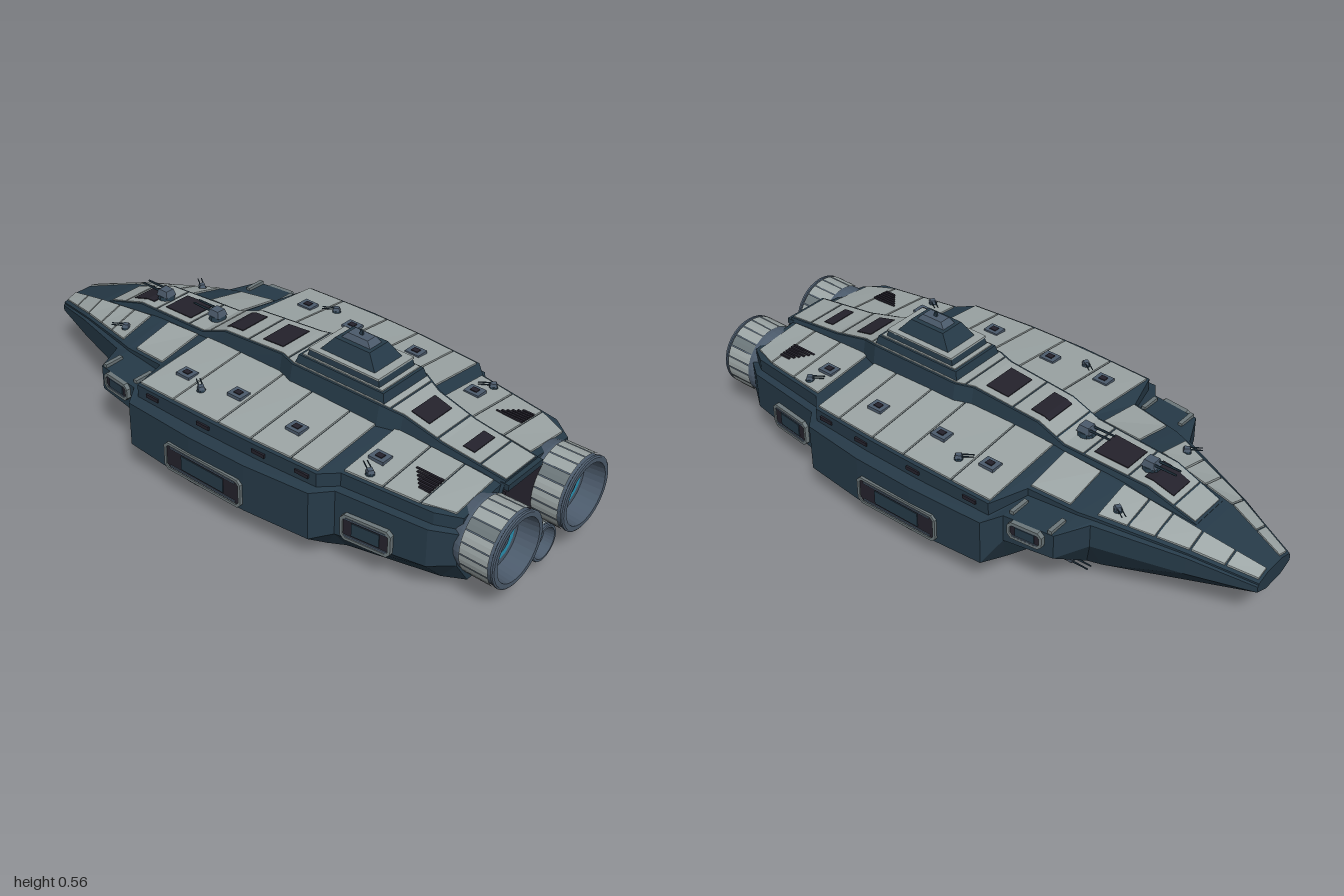
import * as THREE from 'three';

const mat = (name, color, side = THREE.FrontSide) => {
  const m = new THREE.MeshStandardMaterial({ color, side, flatShading: true });
  m.name = name;
  return m;
};

// Hull stations: x, keel z/y, side z, side low y, side high y, deck edge z/y, deck inner z/y
const HULL = [
  [-1, .04, .15, .09, .17, .19, .085, .2, .035, .215],
  [-.8, .1, .105, .165, .18, .24, .155, .25, .08, .28],
  [-.53, .19, .08, .26, .2, .28, .24, .295, .1, .33],
  [-.48, .2, .075, .37, .2, .285, .255, .3, .1, .335],
  [-.31, .25, .068, .39, .19, .285, .275, .315, .1, .345],
  [-.27, .33, .065, .45, .12, .275, .41, .322, .1, .35],
  [0, .36, .055, .46, .11, .275, .415, .328, .1, .36],
  [.22, .36, .048, .455, .11, .275, .41, .328, .11, .36],
  [.45, .34, .042, .43, .11, .275, .395, .325, .1, .355],
  [.5, .31, .042, .37, .12, .275, .345, .325, .1, .35],
  [.8, .25, .055, .33, .14, .27, .305, .315, .095, .335],
  [.87, .22, .062, .28, .15, .26, .26, .305, .09, .325],
];
// Spine stations: x, top half width, top y
const SPINE = [
  [-.77, .07, .287], [-.6, .08, .345], [-.3, .09, .36], [-.2, .09, .4], [.05, .095, .42],
  [.11, .115, .42], [.45, .115, .42], [.52, .09, .4], [.66, .085, .365], [.88, .08, .338],
];

function sample(table, x) {
  let i = 0;
  while (i < table.length - 2 && x > table[i + 1][0]) i++;
  const a = table[i], b = table[i + 1];
  const t = Math.min(1, Math.max(0, (x - a[0]) / (b[0] - a[0])));
  return a.map((v, k) => v + (b[k] - v) * t);
}

// Skin a row of closed rings ([x, y, z] points running keel, +z, top, -z) and cap both ends
function loft(rings) {
  const p = [], n = rings[0].length, last = rings[rings.length - 1];
  for (let r = 0; r < rings.length - 1; r++) {
    const a = rings[r], b = rings[r + 1];
    for (let i = 0; i < n; i++) {
      const j = (i + 1) % n;
      p.push(...a[i], ...b[i], ...b[j], ...a[i], ...b[j], ...a[j]);
    }
  }
  for (let i = 1; i < n - 1; i++) {
    p.push(...rings[0][0], ...rings[0][i], ...rings[0][i + 1]);
    p.push(...last[0], ...last[i + 1], ...last[i]);
  }
  const g = new THREE.BufferGeometry();
  g.setAttribute('position', new THREE.Float32BufferAttribute(p, 3));
  g.computeVertexNormals();
  return g;
}

// Box whose top face is scaled inward
function frustum(w, h, d, sx, sz) {
  const g = new THREE.BoxGeometry(w, h, d).toNonIndexed(), p = g.attributes.position;
  for (let i = 0; i < p.count; i++)
    if (p.getY(i) > 0) p.setXYZ(i, p.getX(i) * sx, p.getY(i), p.getZ(i) * sz);
  g.computeVertexNormals();
  return g;
}

export function createModel() {
  const root = new THREE.Group();
  const dark = mat('navy hull', 0x263a48), light = mat('pale plating', 0x9ca5a5);
  const slate = mat('slate metal', 0x4c5b6c), black = mat('dark recess', 0x24222c);
  const blue = mat('engine glow', 0x2b93b3), grey = mat('trim grey', 0x6c777a);
  const add = (name, geo, m, x = 0, y = 0, z = 0, parent = root) => {
    const o = new THREE.Mesh(geo, m);
    o.name = name;
    o.position.set(x, y, z);
    parent.add(o);
    return o;
  };
  const box = (name, w, h, d, m, x, y, z, parent) =>
    add(name, new THREE.BoxGeometry(w, h, d), m, x, y, z, parent);
  const deckY = (x, z) => {
    const s = sample(HULL, x), t = (s[6] - Math.abs(z)) / (s[6] - s[8]);
    return s[7] + (s[9] - s[7]) * t + .006;
  };

  // Main hull
  add('hull', loft(HULL.map(([x, kz, ky, sz, lo, hi, ez, ey, iz, iy]) => {
    const half = [[kz, ky], [sz, lo], [sz, hi], [ez, hi + .004], [ez, ey], [iz, iy]];
    return [[x, ky, 0], ...half.map(([z, y]) => [x, y, z]),
      ...half.slice().reverse().map(([z, y]) => [x, y, -z])];
  })), dark);

  // Pale deck plates with dark seams, mirrored
  const plates = [[-.995, -.9], [-.9, -.8], [-.8, -.7], [-.7, -.62], [-.62, -.53], [-.45, -.31], [-.27, -.12],
    [-.12, .07], [.07, .2], [.2, .35], [.35, .45], [.5, .63], [.63, .75], [.75, .85]];
  for (const [x0, x1] of plates) for (const s of [1, -1]) {
    const rings = [x0 + .003, x1 - .003].map(x => {
      const h = sample(HULL, x), o = h[6] - .012, n = h[8];
      const yo = deckY(x, o), yn = deckY(x, n);
      const ring = [[x, yn - .02, s * n], [x, yo - .02, s * o], [x, yo, s * o], [x, yn, s * n]];
      return s > 0 ? ring : ring.reverse();
    });
    add('deckPlate', loft(rings), light);
  }

  // Raised spine, its pale top plates and dark hatches
  add('spine', loft(SPINE.map(([x, w, y]) => {
    const base = sample(HULL, x)[9] - .03;
    return [[x, base, w + .018], [x, y, w], [x, y, -w], [x, base, -w - .018]];
  })), dark);
  const strip = (name, x0, x1, m, inset, lift) => {
    const xs = [x0, ...SPINE.map(s => s[0]).filter(x => x > x0 && x < x1), x1];
    add(name, loft(xs.map(x => {
      const [, w, y] = sample(SPINE, x), z = w - inset;
      return [[x, y - .004, z], [x, y + lift, z], [x, y + lift, -z], [x, y - .004, -z]];
    })), m);
  };
  const seams = [-.765, -.69, -.53, -.37, -.27, -.1, .08, .48, .64, .79, .88];
  for (let i = 0; i < seams.length - 1; i++)
    strip('spinePlate', seams[i] + .003, seams[i + 1] - .003, light, .007, .003);
  for (const [a, b] of [[-.67, -.57], [-.51, -.39], [-.22, -.15], [-.06, .025], [.525, .59], [.71, .75]])
    strip('spineHatch', a, b, black, .033, .006);

  // Stepped command tower
  const tower = new THREE.Group();
  tower.name = 'commandTower';
  tower.position.x = .285;
  root.add(tower);
  for (const [y, h, w, d, sx, sz, m] of [
    [.415, .035, .35, .21, .94, .92, dark], [.45, .004, .31, .18, 1, 1, light],
    [.45, .024, .28, .17, .96, .96, dark], [.474, .007, .27, .17, 1, 1, light],
    [.481, .045, .21, .13, .64, .68, dark], [.526, .018, .11, .055, .7, .7, slate],
    [.544, .016, .012, .008, .6, .6, dark]])
    add('towerTier', frustum(w, h, d, sx, sz), m, 0, y + h / 2, 0, tower);

  // Side hangars: chamfered frame around a dark bay with a lintel and sill
  const chamfered = (C, w, h, c) => {
    const s = new C(), a = w / 2, b = h / 2;
    [[-a, -b + c], [-a + c, -b], [a - c, -b], [a, -b + c], [a, b - c], [a - c, b], [-a + c, b], [-a, b - c]]
      .forEach(([x, y], i) => (i ? s.lineTo(x, y) : s.moveTo(x, y)));
    s.closePath();
    return s;
  };
  for (const s of [1, -1]) for (const [x, y, z, w, h, turn] of [
    [-.39, .255, .378, .12, .06, -.1], [.055, .167, .447, .32, .1, 0], [.61, .172, .352, .17, .09, .12]]) {
    const bay = new THREE.Group();
    bay.name = 'sideHangar';
    bay.position.set(x, y, s * z);
    bay.rotation.y = s > 0 ? turn : Math.PI - turn;
    root.add(bay);
    const ring = chamfered(THREE.Shape, w, h, .014);
    ring.holes.push(chamfered(THREE.Path, w - .018, h - .018, .01));
    add('hangarFrame', new THREE.ExtrudeGeometry(ring, { depth: .018, bevelEnabled: false }), grey, 0, 0, 0, bay);
    box('hangarBay', w - .016, h - .016, .006, black, 0, 0, .011, bay);
    box('hangarDoor', w * .55, h * .5, .003, dark, 0, 0, .0155, bay);
    for (const e of [1, -1]) box('hangarRail', w * .85, .006, .005, slate, 0, e * h * .34, .015, bay);
  }

  // Engines: nacelle and nozzle turned on the x axis, plated barrel, glowing ring
  const engine = (name, y, z, r, x0, x1) => {
    const g = new THREE.Group();
    g.name = name;
    g.position.set(0, y, z);
    g.rotation.z = -Math.PI / 2;
    root.add(g);
    const L = x1 - x0, floor = x1 - r * .55;
    const lathe = (part, pts, m) => add(part, new THREE.LatheGeometry(
      pts.map(([a, b]) => new THREE.Vector2(a, b)), 32), m, 0, 0, 0, g);
    lathe('nozzle', [[r * .7, x0 - r * .7], [r * .9, x0 - r * .3], [r * .97, x0 + L * .1], [r * .97, x1 - .012],
      [r, x1 - .01], [r, x1 - .003], [r * .96, x1], [r * .84, x1], [r * .78, floor], [r * .64, floor]], slate);
    lathe('glowRing', [[r * .65, floor], [r * .4, floor]], blue);
    lathe('innerCone', [[r * .41, floor], [r * .36, floor + .008], [r * .18, floor + .012]], slate);
    lathe('core', [[r * .19, floor + .012], [0, floor + .016]], black);
    for (let i = 0; i < 20; i++) {
      const a = i * Math.PI / 10;
      add('barrelPlate', new THREE.CylinderGeometry(r * 1.01, r, L * .7, 2, 1, true, a, .29),
        i % 5 === 2 ? grey : light, 0, x0 + L * .52, 0, g);
    }
  };
  for (const s of [1, -1]) engine('mainEngine', .21, s * .172, .122, .86, 1);
  engine('lowerEngine', .12, 0, .061, .88, .98);
  box('sternPlate', .03, .19, .18, black, .875, .215, 0);
  box('sternLintel', .03, .02, .17, dark, .88, .322, 0);

  // Gun turrets with twin barrels pointing at the nose; flip hangs them below
  const turret = (x, y, z, k, yaw = 0, flip = false) => {
    const g = new THREE.Group();
    g.name = 'gunTurret';
    g.position.set(x, y, z);
    g.rotation.set(flip ? Math.PI : 0, yaw, 0);
    g.scale.setScalar(k);
    root.add(g);
    add('turretBase', new THREE.CylinderGeometry(.026, .03, .014, 10), dark, 0, .005, 0, g);
    add('turretHouse', frustum(.05, .022, .044, .7, .75), slate, 0, .022, 0, g);
    for (const s of [1, -1]) {
      const b = add('gunBarrel', new THREE.CylinderGeometry(.0035, .0045, .08, 6), dark, -.055, .025, s * .012, g);
      b.rotation.z = Math.PI / 2;
    }
  };
  turret(-.56, .35, 0, 1);
  turret(-.32, .365, 0, 1);
  turret(.31, .046, 0, 1, 0, true);
  for (const s of [1, -1]) {
    turret(-.42, .071, s * .2, .75, 0, true);
    for (const [x, z] of [[-.57, .18], [-.08, .32], [.57, .3]])
      turret(x, deckY(x, z), s * z, .5, s * (x < -.5 ? .6 : -.6));

    // Deck hatches
    for (const [x, z] of [[-.175, .285], [.03, .27], [.28, .285], [.55, .23]]) {
      const y = deckY(x, z);
      box('deckHatch', .055, .016, .045, slate, x, y, s * z);
      box('hatchLid', .024, .004, .02, black, x, y + .009, s * z);
    }
    // Slatted vents
    for (let i = 0; i < 6; i++) {
      const z = .255 - i * .012, w = .04 + i * .011;
      box('ventSlat', w, .006, .007, black, .75 - w / 2, deckY(.7, z) + .002, s * z);
    }
    // Bow fins on the forward shoulders and edge lockers on the hull shelf
    for (const x of [-.465, -.325]) box('shoulderRail', .014, .012, .07, grey, x, .291, s * .335);
    for (const x of [-.2, .02, .24, .4]) box('edgeVent', .05, .012, .008, black, x, .305, s * (sample(HULL, x)[6] + .002));
    // Belly pods
    for (const x of [-.1, .15, .45]) box('bellyPod', .06, .012, .04, slate, x, sample(HULL, x)[2] - .002, s * .17);
  }

  // Belly panels
  for (const x of [-.73, -.25, .42])
    box('bellyPanel', .12, .008, .085, grey, x, sample(HULL, x)[2] - .002, 0).rotation.z = x < -.5 ? -.09 : -.03;
  box('bellyPod', .05, .03, .04, dark, .31, .025, 0);
  box('bellySensor', .03, .014, .03, slate, .31, .008, 0);
  return root;
}
